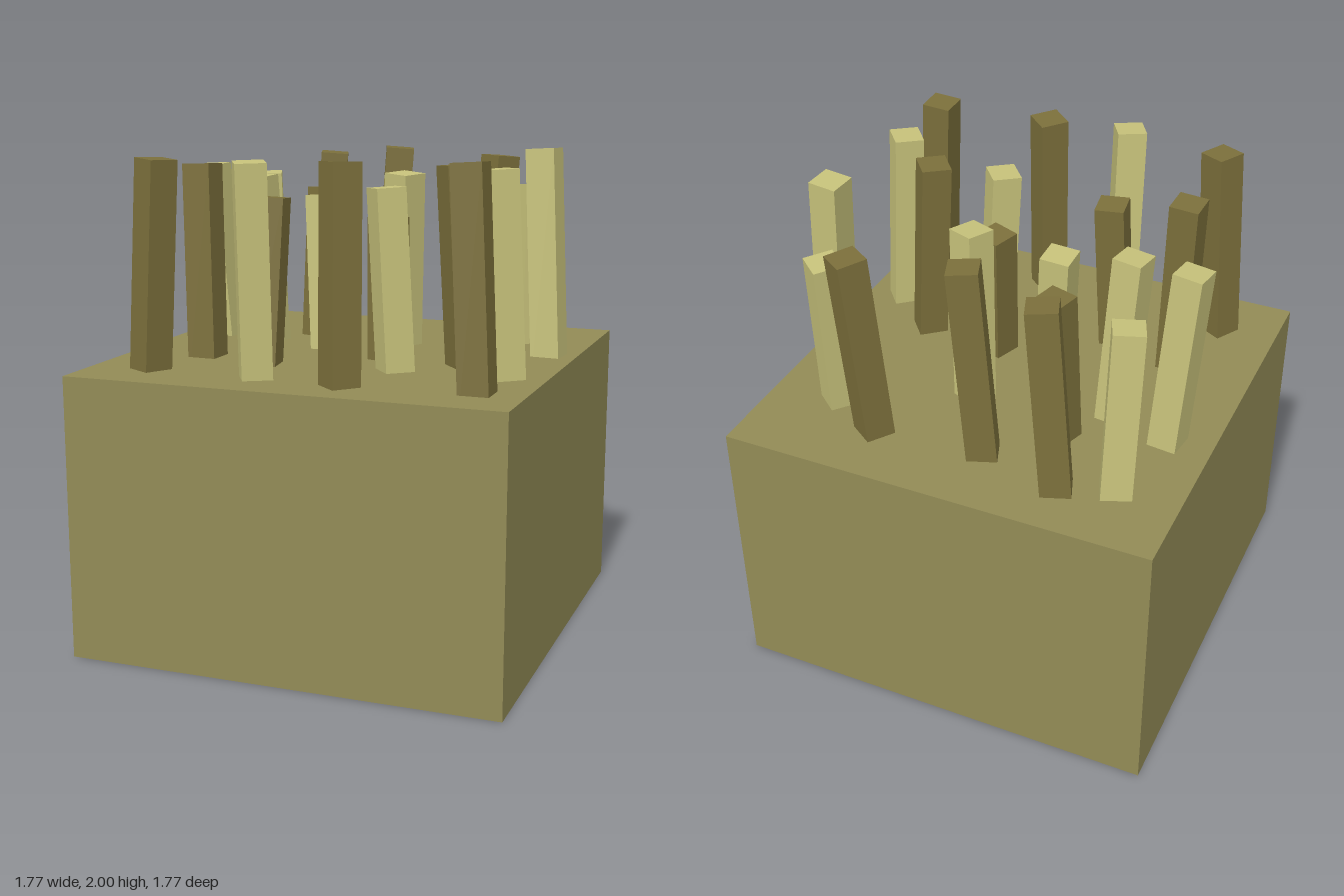
import * as THREE from 'three';

export function createModel() {
  const root = new THREE.Group();
  const mat = (color) => new THREE.MeshStandardMaterial({ color, flatShading: true });
  const lightMat = mat(0xc6c17a);
  const darkMat = mat(0x7b6f3b);
  const blockTop = 1.15, width = 0.12, buried = 0.1;

  // Solid block the sticks are planted in
  const block = new THREE.Mesh(new THREE.BoxGeometry(1.775, blockTop, 1.775), mat(0x928b56));
  block.name = 'block';
  block.position.y = blockTop / 2;
  root.add(block);

  // Leaning square stick from its top centre down to the block's surface and a little below
  const up = new THREE.Vector3(0, 1, 0);
  function addStick(name, material, [x, z, height, dx, dz, yaw]) {
    const top = new THREE.Vector3(x, height, z);
    const foot = new THREE.Vector3(x + dx, blockTop, z + dz);
    const dir = top.clone().sub(foot);
    const length = dir.length() + buried;
    dir.normalize();
    const stick = new THREE.Mesh(new THREE.BoxGeometry(width, length, width), material);
    stick.name = name;
    stick.position.copy(top).addScaledVector(dir, -length / 2);
    stick.quaternion.setFromUnitVectors(up, dir).multiply(
      new THREE.Quaternion().setFromAxisAngle(up, THREE.MathUtils.degToRad(-yaw)));
    root.add(stick);
  }

  // Each row: top x, top z, top height, foot offset x and z, turn in degrees
  const lightSticks = [
    [-0.635, -0.53, 1.85, 0.005, -0.05, -22],
    [0.59, -0.54, 1.825, 0.01, 0.055, 40],
    [-0.75, -0.175, 1.905, 0.045, -0.04, 7],
    [-0.49, -0.097, 1.865, 0.035, -0.04, 8],
    [-0.185, -0.083, 1.795, 0.035, 0.035, 0],
    [0.14, -0.185, 1.885, -0.025, -0.05, 25],
    [0.72, -0.235, 1.995, 0.05, 0.04, 5],
    [0.237, 0.325, 1.865, 0.04, 0, -40],
    [0.68, 0.325, 1.945, 0.043, 0, -40],
    [-0.17, 0.7, 1.975, -0.005, -0.047, -30],
  ];
  const darkSticks = [
    [-0.355, -0.65, 1.94, -0.065, -0.005, -20],
    [-0.015, -0.575, 1.97, -0.062, 0.005, -20],
    [0.427, -0.645, 1.94, -0.052, 0.033, 35],
    [-0.29, -0.385, 1.8, -0.015, 0.04, 18],
    [0.158, 0.073, 1.725, 0.015, 0.04, 20],
    [0.46, 0.137, 1.945, 0.05, 0.01, -40],
    [-0.58, 0.26, 1.935, 0.03, 0.043, 2],
    [-0.235, 0.34, 1.815, -0.025, 0.04, -8],
    [-0.588, 0.64, 1.975, -0.05, -0.005, 30],
    [0.17, 0.64, 1.98, 0.012, 0.047, 42],
    [0.65, 0.595, 1.985, 0.05, 0.036, 0],
  ];
  lightSticks.forEach((s, i) => addStick(`lightStick${i + 1}`, lightMat, s));
  darkSticks.forEach((s, i) => addStick(`darkStick${i + 1}`, darkMat, s));
  return root;
}
